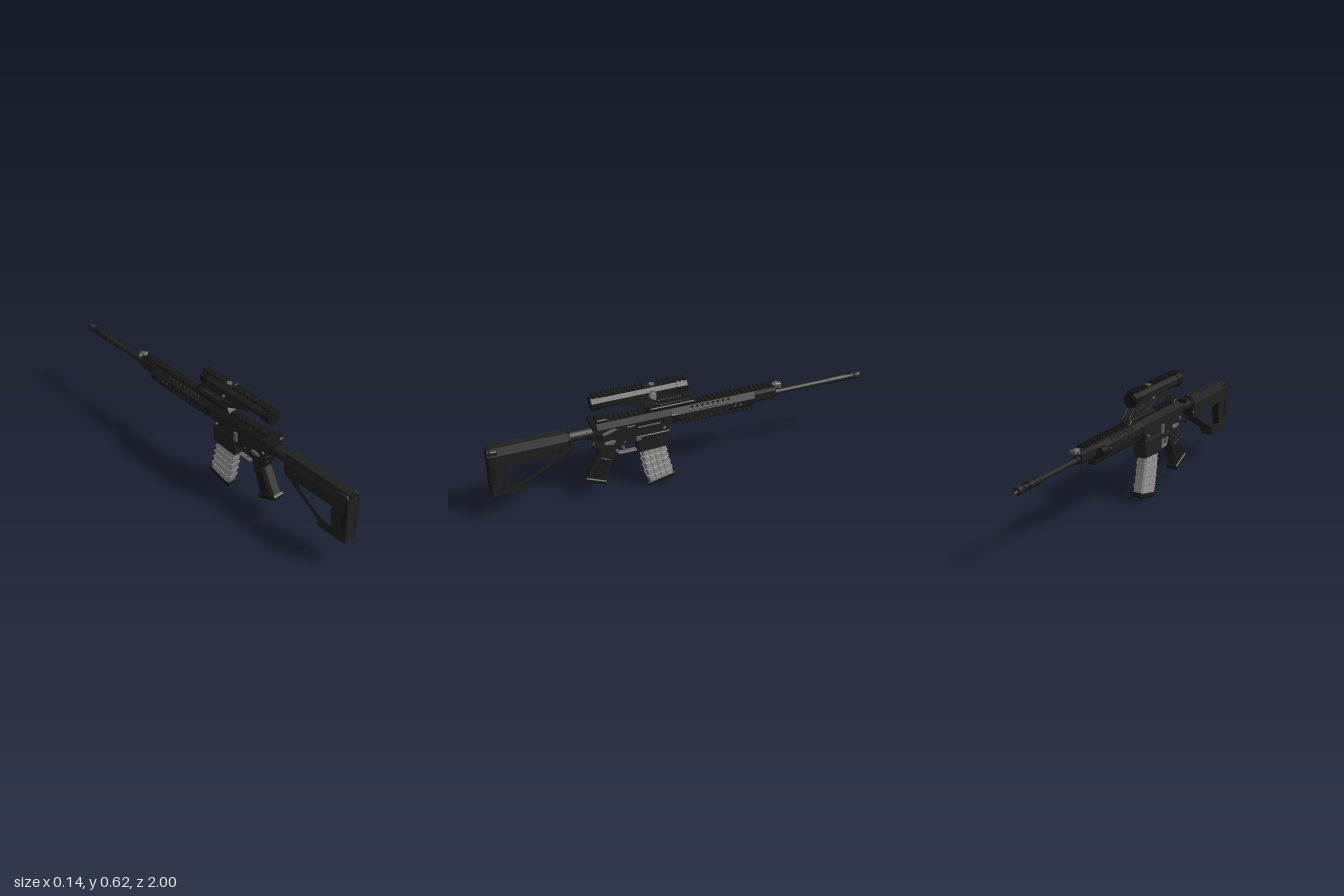
import * as THREE from 'three';
import { mergeGeometries } from 'three/addons/utils/BufferGeometryUtils.js';

const mat = (name, color) => {
  const m = new THREE.MeshStandardMaterial({ color });
  m.name = name;
  return m;
};

export function createModel() {
  const model = new THREE.Group();
  model.name = 'rifle';
  const body = new THREE.Group();
  body.name = 'assembly';
  body.position.x = -0.008;
  model.add(body);

  const black = mat('matte black', 0x202020);
  const dark = mat('deep black', 0x181818);
  const steel = mat('steel grey', 0x626262);
  const smoke = mat('smoke grey', 0x868686);
  const pale = mat('pale grey', 0x989898);

  const add = (name, geo, m = black) => {
    const mesh = new THREE.Mesh(geo, m);
    mesh.name = name;
    body.add(mesh);
    return mesh;
  };
  // Box from its limits
  const box = (x0, x1, y0, y1, z0, z1) =>
    new THREE.BoxGeometry(x1 - x0, y1 - y0, Math.abs(z1 - z0))
      .translate((x0 + x1) / 2, (y0 + y1) / 2, (z0 + z1) / 2);
  // Flat-sided or smooth cylinder along z
  const rod = (r, z0, z1, x, y, n = 20, r2 = r) => {
    let g = new THREE.CylinderGeometry(r, r2, Math.abs(z1 - z0), n)
      .rotateY(Math.PI / n).rotateX(Math.PI / 2).translate(x, y, (z0 + z1) / 2);
    if (n <= 8) { g = g.toNonIndexed(); g.computeVertexNormals(); }
    return g;
  };
  // Knob along x
  const knob = (r, x0, x1, y, z, n = 14) =>
    new THREE.CylinderGeometry(r, r, x1 - x0, n).rotateZ(Math.PI / 2).translate((x0 + x1) / 2, y, z);
  const poly = (pts) => pts.map(([a, b]) => new THREE.Vector2(a, b));
  // Side outline of [z, y] points, extruded across the width, with chamfered edges
  const side = (pts, w, bevel = 0.006, holes = [], x = 0) => {
    const flip = (p) => poly(p.map(([z, y]) => [-z, y]));
    const s = new THREE.Shape(flip(pts));
    holes.forEach((h) => s.holes.push(new THREE.Path(flip(h))));
    return new THREE.ExtrudeGeometry(s, {
      depth: w - 2 * bevel, bevelEnabled: bevel > 0, bevelThickness: bevel,
      bevelSize: bevel, bevelOffset: -bevel, bevelSegments: 1, curveSegments: 8,
    }).translate(0, 0, -w / 2 + bevel).rotateY(Math.PI / 2).translate(x, 0, 0);
  };
  // Cross-section of [x, y] points run along z
  const along = (pts, z0, z1) =>
    new THREE.ExtrudeGeometry(new THREE.Shape(poly(pts)), { depth: z1 - z0, bevelEnabled: false }).translate(0, 0, z0);
  const mirrored = (half) => [...half, ...half.map(([x, y]) => [-x, y]).reverse()];
  // Row of rail teeth
  const teeth = (w, y0, y1, zBack, zFront, pitch = 0.025) => {
    const list = [];
    for (let z = zBack; z - pitch * 0.55 >= zFront; z -= pitch) {
      list.push(box(-w / 2, w / 2, y0, y1, z - pitch * 0.55, z));
    }
    return mergeGeometries(list);
  };

  // Shoulder stock
  add('stockTop', along(mirrored([[0.04, 0.335], [0.04, 0.405], [0.022, 0.443]]), 0.6, 0.985));
  add('stockFrame', side(
    [[1, 0.42], [0.985, 0.435], [0.95, 0.435], [0.94, 0.37], [0.6, 0.37], [0.585, 0.355], [0.595, 0.325],
      [0.63, 0.315], [0.69, 0.27], [0.815, 0.2], [0.82, 0.165], [0.83, 0.158], [1, 0.158]],
    0.074, 0.006,
    [[[0.925, 0.35], [0.8, 0.35], [0.68, 0.335], [0.7, 0.295], [0.84, 0.215], [0.91, 0.205], [0.915, 0.235], [0.905, 0.3]]]));
  add('buttPad', along(mirrored([[0.034, 0.16], [0.034, 0.195], [0.03, 0.215], [0.039, 0.245], [0.039, 0.405], [0.022, 0.437]]), 0.97, 1), dark);
  add('stockLever', side([[0.83, 0.352], [0.67, 0.345], [0.65, 0.325], [0.68, 0.312], [0.76, 0.325], [0.82, 0.318]], 0.04, 0.004), dark);
  add('stockCollar', along(mirrored([[0.034, 0.345], [0.034, 0.405], [0.02, 0.435]]), 0.585, 0.602), dark);
  add('bufferTube', rod(0.029, 0.46, 0.62, 0, 0.402));
  add('tubeNut', rod(0.034, 0.47, 0.5, 0, 0.402, 12), dark);
  for (const s of [-1, 1]) {
    add('slingLoop', new THREE.TorusGeometry(0.017, 0.005, 6, 14).translate(s * 0.042, 0.355, 0.475), dark);
    add('stockPin', knob(0.012, s * 0.041 - 0.001, s * 0.041 + 0.001, 0.36, 0.65), dark);
  }

  // Receiver
  add('upperReceiver', along(mirrored([[0.034, 0.37], [0.034, 0.425], [0.018, 0.455]]), 0.06, 0.47));
  add('lowerReceiver', side(
    [[0.475, 0.4], [0.475, 0.355], [0.445, 0.3], [0.35, 0.285], [0.32, 0.3], [0.24, 0.298], [0.238, 0.25],
      [0.232, 0.238], [0.078, 0.245], [0.075, 0.385], [0.1, 0.4]], 0.066, 0.005));
  add('magazineWell', side([[0.24, 0.34], [0.242, 0.245], [0.235, 0.236], [0.076, 0.243], [0.072, 0.34]], 0.074, 0.005));
  add('ejectionCover', box(0.03, 0.038, 0.385, 0.415, 0.1, 0.25), dark);
  add('shellDeflector', side([[0.3, 0.42], [0.3, 0.385], [0.26, 0.385], [0.255, 0.42]], 0.016, 0.003, [], 0.038));
  const assist = new THREE.CylinderGeometry(0.015, 0.015, 0.12, 12).rotateX(Math.PI / 2);
  add('forwardAssist', assist.rotateY(0.38).translate(0.042, 0.405, 0.4));
  add('assistCap', knob(0.019, 0.057, 0.077, 0.405, 0.445), dark);
  add('chargingHandle', box(-0.057, 0.058, 0.445, 0.468, 0.455, 0.478), dark);
  add('chargingStem', box(-0.015, 0.015, 0.445, 0.462, 0.4, 0.46), dark);
  add('rearSight', side([[0.45, 0.465], [0.45, 0.482], [0.4, 0.482], [0.38, 0.465]], 0.06, 0.004), dark);

  // Controls
  for (const s of [-1, 1]) {
    add('selector', side([[0.415, 0.345], [0.415, 0.332], [0.37, 0.325], [0.355, 0.34], [0.37, 0.352]], 0.01, 0.002, [], s * 0.037), steel);
    add('pivotPin', knob(0.008, s * 0.036 - 0.003, s * 0.036 + 0.003, 0.36, 0.1), steel);
    add('rearPin', knob(0.008, s * 0.036 - 0.003, s * 0.036 + 0.003, 0.37, 0.44), steel);
    add('triggerPin', knob(0.005, s * 0.034 - 0.002, s * 0.034 + 0.002, 0.325, 0.31), steel);
  }
  add('boltCatch', box(-0.044, -0.034, 0.335, 0.385, 0.235, 0.255), steel);
  add('magazineRelease', box(0.033, 0.043, 0.32, 0.34, 0.225, 0.25), steel);
  add('boltStrip', box(0.034, 0.04, 0.394, 0.404, 0.12, 0.24), steel);
  add('trigger', side([[0.325, 0.31], [0.3, 0.31], [0.305, 0.275], [0.295, 0.25], [0.303, 0.248], [0.318, 0.27]], 0.014, 0.002), steel);
  add('triggerGuard', side([[0.365, 0.29], [0.345, 0.245], [0.33, 0.234], [0.23, 0.234], [0.23, 0.243], [0.325, 0.243], [0.335, 0.25], [0.345, 0.29]], 0.026, 0.002), steel);

  // Pistol grip
  add('pistolGrip', side([[0.46, 0.32], [0.44, 0.275], [0.515, 0.14], [0.42, 0.098], [0.362, 0.235], [0.35, 0.3]], 0.062, 0.011));
  add('gripCap', side([[0.527, 0.138], [0.524, 0.12], [0.417, 0.077], [0.41, 0.1], [0.515, 0.146]], 0.068, 0.005), dark);
  for (const s of [-1, 1]) {
    add('gripPanel', side([[0.435, 0.25], [0.488, 0.15], [0.432, 0.126], [0.385, 0.235]], 0.006, 0.002, [], s * 0.031), dark);
  }

  // Curved magazine
  const back = new THREE.QuadraticBezierCurve(...poly([[0.222, 0.26], [0.212, 0.14], [0.178, 0.015]]));
  const front = new THREE.QuadraticBezierCurve(...poly([[0.092, 0.26], [0.08, 0.16], [0.045, 0.045]]));
  const magPoint = (u, v) => back.getPoint(v).lerp(front.getPoint(v), u).toArray();
  const steps = [0, 0.2, 0.4, 0.6, 0.8, 1];
  add('magazine', side([...steps.map((v) => magPoint(0, v)), ...steps.map((v) => magPoint(1, v)).reverse()], 0.054, 0.007), smoke);
  const panels = [];
  for (let r = 0; r < 5; r++) {
    for (let c = 0; c < 4; c++) {
      const u0 = 0.06 + c * 0.225, u1 = u0 + 0.19, v0 = 0.09 + r * 0.178, v1 = v0 + 0.15;
      panels.push(side([magPoint(u0, v0), magPoint(u0, v1), magPoint(u1, v1), magPoint(u1, v0)], 0.06, 0.002));
    }
  }
  add('magazinePanels', mergeGeometries(panels), pale);
  add('magazineRibs', mergeGeometries([0.25, 0.43, 0.61, 0.79].map((v) =>
    side([magPoint(-0.03, v - 0.012), magPoint(-0.03, v + 0.012), magPoint(1.03, v + 0.012), magPoint(1.03, v - 0.012)], 0.057, 0.002))), smoke);
  add('magazineBase', side([[0.192, 0.026], [0.188, 0.008], [0.178, 0.001], [0.04, 0.034], [0.035, 0.045], [0.04, 0.062]], 0.064, 0.005), dark);

  // Handguard: slotted corner plates between side walls and rails
  const plate = (sx, y0, y1) => {
    const dir = new THREE.Vector3(-sx * 0.019, y1 - y0, 0);
    const len = dir.length();
    dir.normalize();
    const s = new THREE.Shape(poly([[-0.06, 0], [0.39, 0], [0.39, len], [-0.06, len]]));
    for (let i = 0; i < 8; i++) {
      const u = 0.03 + i * 0.028;
      s.holes.push(new THREE.Path(poly([[u, 0.005], [u + 0.012, 0.005], [u + 0.03, len - 0.005], [u + 0.018, len - 0.005]])));
    }
    const m = new THREE.Matrix4().makeBasis(new THREE.Vector3(0, 0, -1), dir, new THREE.Vector3(dir.y, -dir.x, 0));
    m.setPosition(sx * 0.035, y0, 0);
    return new THREE.ExtrudeGeometry(s, { depth: 0.004, bevelEnabled: false }).applyMatrix4(m);
  };
  for (const s of [-1, 1]) {
    add('upperVentPlate', plate(s, 0.42, 0.452));
    add('lowerVentPlate', plate(s, 0.396, 0.364));
    add('handguardWall', box(s * 0.035 - 0.003, s * 0.035 + 0.003, 0.393, 0.423, 0.06, -0.39));
    const sideTeeth = [];
    for (let z = -0.265; z > -0.385; z -= 0.025) sideTeeth.push(box(s * 0.039 - 0.003, s * 0.039 + 0.003, 0.394, 0.422, z - 0.014, z));
    add('sideRail', mergeGeometries(sideTeeth), dark);
    for (const z of [-0.28, -0.31]) add('handguardScrew', knob(0.006, s * 0.043 - 0.001, s * 0.043 + 0.001, 0.408, z), steel);
  }
  add('lowerRail', box(-0.019, 0.019, 0.357, 0.37, 0.06, -0.39));
  add('lowerRailTeeth', teeth(0.04, 0.348, 0.358, 0.0, -0.392), dark);
  add('topRail', box(-0.018, 0.018, 0.445, 0.46, 0.45, -0.51));
  add('topRailTeeth', teeth(0.04, 0.459, 0.472, 0.38, -0.5), dark);
  add('handguardRing', rod(0.042, 0.06, 0.03, 0, 0.408, 8), dark);
  add('handguardCap', rod(0.04, -0.375, -0.39, 0, 0.408, 8), dark);
  add('gasBlock', along(mirrored([[0.018, 0.386], [0.026, 0.4], [0.026, 0.435], [0.018, 0.452]]), -0.51, -0.38));
  add('sideKnob', rod(0.023, -0.335, -0.385, -0.043, 0.416, 12), dark);
  add('frontSight', side([[-0.5, 0.44], [-0.5, 0.462], [-0.515, 0.468], [-0.545, 0.462], [-0.545, 0.442]], 0.026, 0.004), steel);
  add('frontSightPin', knob(0.008, -0.026, 0.026, 0.452, -0.53), steel);

  // Barrel and muzzle
  add('barrel', rod(0.0145, 0.06, -0.84, 0, 0.408));
  add('barrelSleeve', rod(0.019, -0.5, -0.53, 0, 0.408), dark);
  add('muzzleBody', rod(0.018, -0.82, -0.92, 0, 0.408));
  add('muzzleNeck', rod(0.014, -0.92, -0.96, 0, 0.408), dark);
  for (const z of [-0.83, -0.86, -0.905, -0.945]) add('muzzleRing', rod(0.02, z, z - 0.012, 0, 0.408), dark);
  const bore = poly([[0.009, 0], [0.021, 0], [0.021, 0.03], [0.018, 0.036], [0.009, 0.036], [0.009, 0]]);
  add('muzzleCrown', new THREE.LatheGeometry(bore, 16).rotateX(-Math.PI / 2).translate(0, 0.408, -0.964));

  // Scope on a raised mount
  add('scopeBody', rod(0.034, 0.46, -0.01, 0, 0.574, 8));
  add('scopeRearBell', rod(0.039, 0.47, 0.42, 0, 0.574, 8), dark);
  add('scopeFrontBell', rod(0.039, 0.03, -0.024, 0, 0.574, 8), dark);
  add('rearLens', rod(0.026, 0.47, 0.472, 0, 0.574), dark);
  add('frontLens', rod(0.026, -0.024, -0.026, 0, 0.574), dark);
  add('scopeRail', box(-0.014, 0.014, 0.598, 0.612, 0.46, -0.015));
  add('scopeRailTeethRear', teeth(0.04, 0.609, 0.623, 0.46, 0.19), dark);
  add('scopeRailTeethFront', teeth(0.04, 0.609, 0.623, 0.12, -0.02), dark);
  add('scopeSaddle', box(-0.03, 0.03, 0.54, 0.56, 0.32, -0.02));
  add('sideTurret', knob(0.016, 0.03, 0.053, 0.574, 0.16, 8), smoke);
  add('turretCollar', knob(0.021, 0.028, 0.036, 0.574, 0.16), steel);
  add('topTurret', new THREE.CylinderGeometry(0.014, 0.014, 0.02, 12).translate(0, 0.608, 0.155), steel);
  for (const s of [-1, 1]) {
    add('mountArm', side(
      [[0.32, 0.548], [0.29, 0.535], [0.15, 0.482], [-0.075, 0.472], [-0.075, 0.488], [-0.015, 0.548]],
      0.01, 0.001, [[[0.22, 0.54], [0.11, 0.497], [-0.035, 0.497], [0.02, 0.54]]], s * 0.019));
    add('mountScrew', knob(0.007, s * 0.036 - 0.004, s * 0.036 + 0.004, 0.552, 0.15), steel);
  }
  add('mountBase', side([[0.19, 0.464], [0.17, 0.486], [-0.06, 0.486], [-0.08, 0.464]], 0.062, 0.004), dark);

  return model;
}
